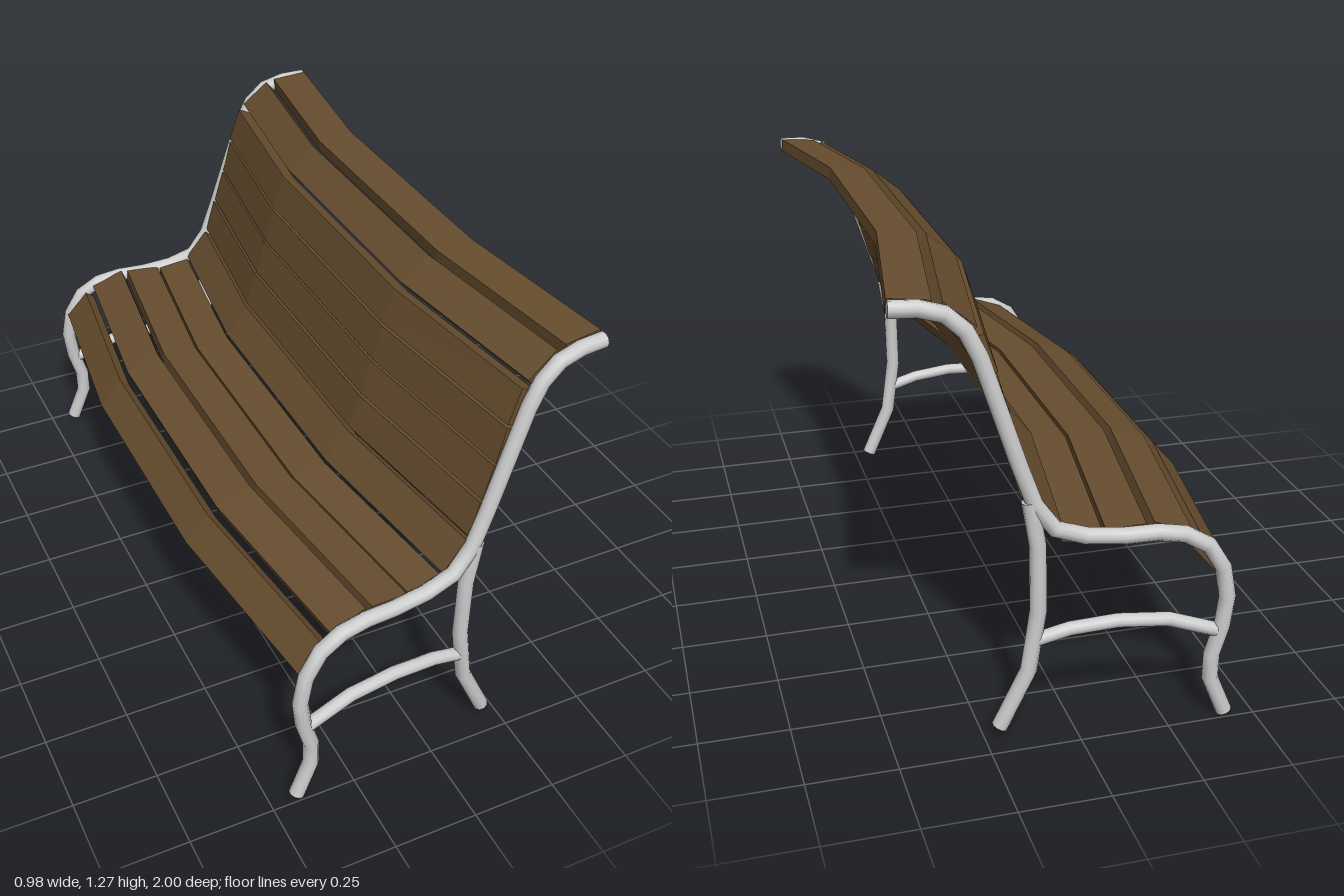
import * as THREE from 'three';
import { mergeGeometries } from 'three/addons/utils/BufferGeometryUtils.js';

const metal = new THREE.MeshStandardMaterial({ color: 0xcccccc });
const wood = new THREE.MeshStandardMaterial({ color: 0x664d2e, flatShading: true });

// The end frames lean towards each other at the back of the bench
const frameZ = (x) => 0.978 - 0.087 * (x + 0.42);

// Bent tube through the given [x, y] points in one end frame, with flat caps
function bentTube(points, radius, side) {
  const pts = points.map(([x, y]) => new THREE.Vector3(x, y, side * frameZ(x)));
  const curve = new THREE.CatmullRomCurve3(pts);
  curve.getPointAt = (t) => curve.getPoint(t); // one ring per listed point
  curve.getTangentAt = (t) => curve.getTangent(t);
  const parts = [new THREE.TubeGeometry(curve, pts.length - 1, radius, 10)];
  for (const t of [0, 1]) {
    const dir = curve.getTangent(t).multiplyScalar(t ? 1 : -1);
    const cap = new THREE.CircleGeometry(radius, 10);
    cap.applyQuaternion(new THREE.Quaternion().setFromUnitVectors(new THREE.Vector3(0, 0, 1), dir));
    cap.translate(...curve.getPoint(t).toArray());
    parts.push(cap);
  }
  return new THREE.Mesh(mergeGeometries(parts), metal);
}

// Board with its outer face from (x0, y0) to (x1, y1), bowed forward in the middle
function slat([x0, y0, x1, y1]) {
  const thick = 0.038, bend = 0.37, shiftX = 0.08, shiftY = -0.017;
  const len = Math.hypot(x1 - x0, y1 - y0);
  const nx = (-(y1 - y0) / len) * thick, ny = ((x1 - x0) / len) * thick;
  const section = [[x0, y0], [x1, y1], [x1 - nx, y1 - ny], [x0 - nx, y0 - ny]];
  const end = (s) => section.map(([x, y]) =>
    [x + shiftX, y + shiftY, s * (frameZ(x + shiftX) - 0.016)]);
  const mid = (s) => section.map(([x, y]) => [x, y, s * bend]);
  const rings = [end(-1), mid(-1), mid(1), end(1)];
  const pos = [];
  const quad = (a, b, c, d) => pos.push(...a, ...b, ...c, ...a, ...c, ...d);
  for (let k = 0; k < 3; k++) {
    for (let i = 0; i < 4; i++) {
      const j = (i + 1) % 4;
      quad(rings[k][i], rings[k + 1][i], rings[k + 1][j], rings[k][j]);
    }
  }
  quad(...rings[0]);
  quad(...rings[3].slice().reverse());
  const geo = new THREE.BufferGeometry();
  geo.setAttribute('position', new THREE.Float32BufferAttribute(pos, 3));
  geo.computeVertexNormals();
  return new THREE.Mesh(geo, wood);
}

export function createModel() {
  const bench = new THREE.Group();
  bench.name = 'bench';

  // Front leg, seat rail and back rail in one bent tube
  const mainRail = [
    [-0.42, 0.01], [-0.375, 0.12], [-0.376, 0.195], [-0.4, 0.28], [-0.41, 0.37],
    [-0.393, 0.46], [-0.35, 0.53], [-0.285, 0.568], [-0.21, 0.58], [-0.12, 0.578],
    [-0.02, 0.587], [0.065, 0.615], [0.12, 0.69], [0.16, 0.8], [0.26, 1.1],
    [0.295, 1.17], [0.345, 1.215], [0.41, 1.233], [0.483, 1.235],
  ];
  const backLeg = [[0.207, 0.032], [0.13, 0.2], [0.106, 0.38], [0.11, 0.57], [0.132, 0.7]];
  const stretcher = [[-0.39, 0.268], [-0.25, 0.316], [-0.11, 0.326], [0.02, 0.315], [0.115, 0.29]];

  for (const side of [1, -1]) {
    const frame = new THREE.Group();
    frame.name = side > 0 ? 'leftEndFrame' : 'rightEndFrame';
    const parts = { mainRail, backLeg, stretcher };
    for (const [name, points] of Object.entries(parts)) {
      const mesh = bentTube(points, name === 'stretcher' ? 0.02 : 0.023, side);
      mesh.name = name;
      frame.add(mesh);
    }
    bench.add(frame);
  }

  // Outer face of each board at the middle of the bench
  const seatSlats = [
    [-0.49, 0.48, -0.42, 0.56], [-0.392, 0.582, -0.285, 0.62],
    [-0.264, 0.616, -0.154, 0.61], [-0.146, 0.606, -0.042, 0.622],
  ];
  const backSlats = [
    [-0.04, 0.632, 0.03, 0.72], [0.035, 0.732, 0.065, 0.835], [0.07, 0.842, 0.1, 0.945],
    [0.103, 0.952, 0.13, 1.056], [0.13, 1.068, 0.165, 1.17], [0.182, 1.19, 0.265, 1.257],
    [0.292, 1.264, 0.402, 1.274],
  ];
  for (const [name, list] of [['seatSlats', seatSlats], ['backSlats', backSlats]]) {
    const group = new THREE.Group();
    group.name = name;
    list.forEach((s, i) => {
      const mesh = slat(s);
      mesh.name = name.slice(0, -1) + (i + 1);
      group.add(mesh);
    });
    bench.add(group);
  }
  return bench;
}
